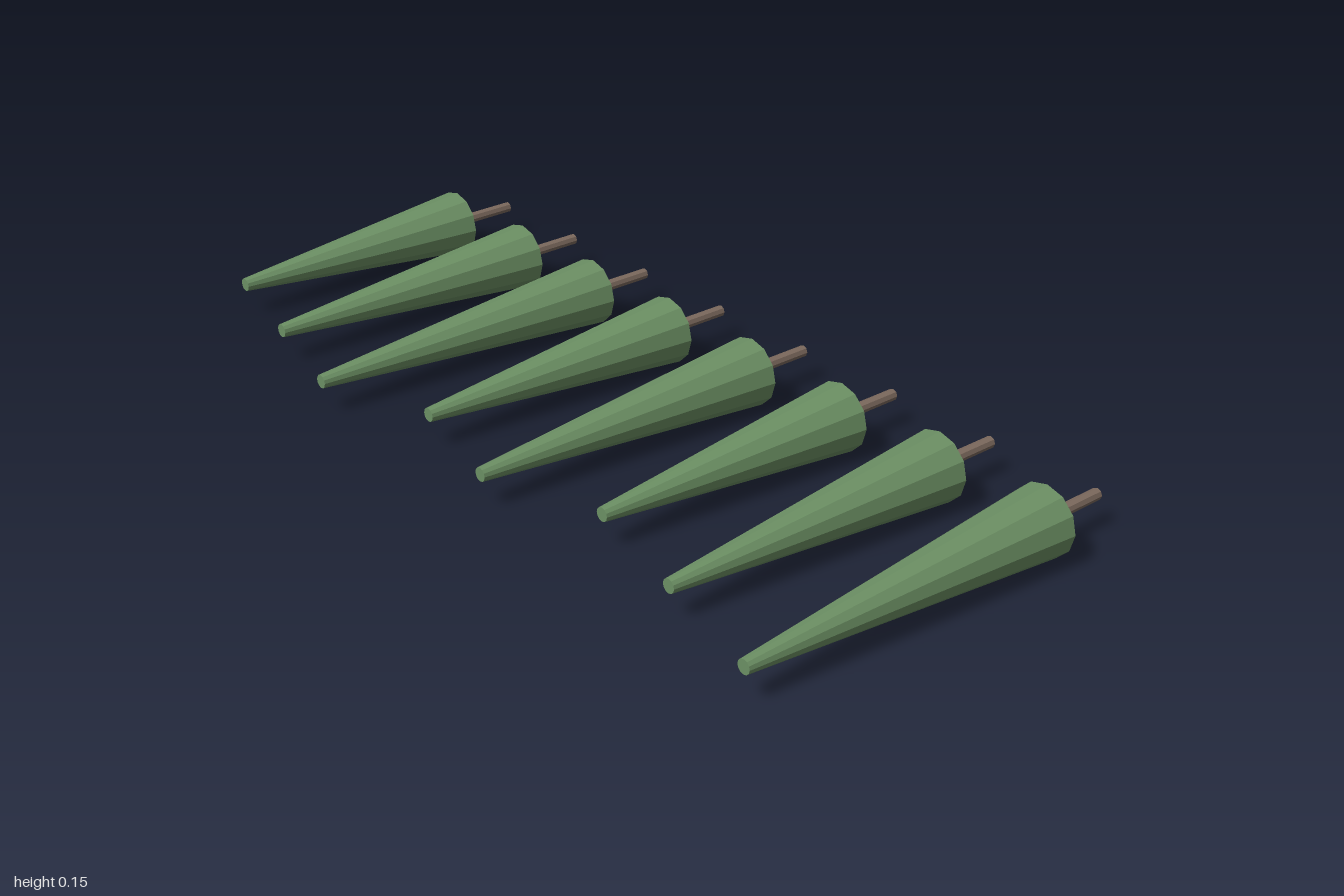
import * as THREE from 'three';

export function createModel() {
  const model = new THREE.Group();
  model.name = 'treeRow';

  const green = new THREE.MeshStandardMaterial({ color: 0x6b8f63, flatShading: true });
  green.name = 'foliage green';
  const brown = new THREE.MeshStandardMaterial({ color: 0x7d6a5e, flatShading: true });
  brown.name = 'trunk brown';

  const axisY = 0.0755, baseZ = -0.3, backZ = -0.453;
  const lengths = [0.6, 0.664, 0.73, 0.642, 0.706, 0.62, 0.685, 0.75];

  // Tapered cylinder lying along z, narrow end towards the front
  function lying(name, tipR, baseR, z0, z1, sides, material) {
    const geometry = new THREE.CylinderGeometry(tipR, baseR, z1 - z0, sides);
    geometry.rotateX(Math.PI / 2);
    const mesh = new THREE.Mesh(geometry, material);
    mesh.name = name;
    mesh.position.z = (z0 + z1) / 2;
    return mesh;
  }

  // Eight trees of varying height laid side by side
  lengths.forEach((length, i) => {
    const tree = new THREE.Group();
    tree.name = `tree${i + 1}`;
    tree.position.set(-0.925 + (i * 1.85) / 7, axisY, 0);
    tree.add(lying('foliage', 0.015, 0.075, baseZ, baseZ + length, 12, green));
    tree.add(lying('trunk', 0.0125, 0.0125, backZ, baseZ + 0.01, 8, brown));
    model.add(tree);
  });

  return model;
}
